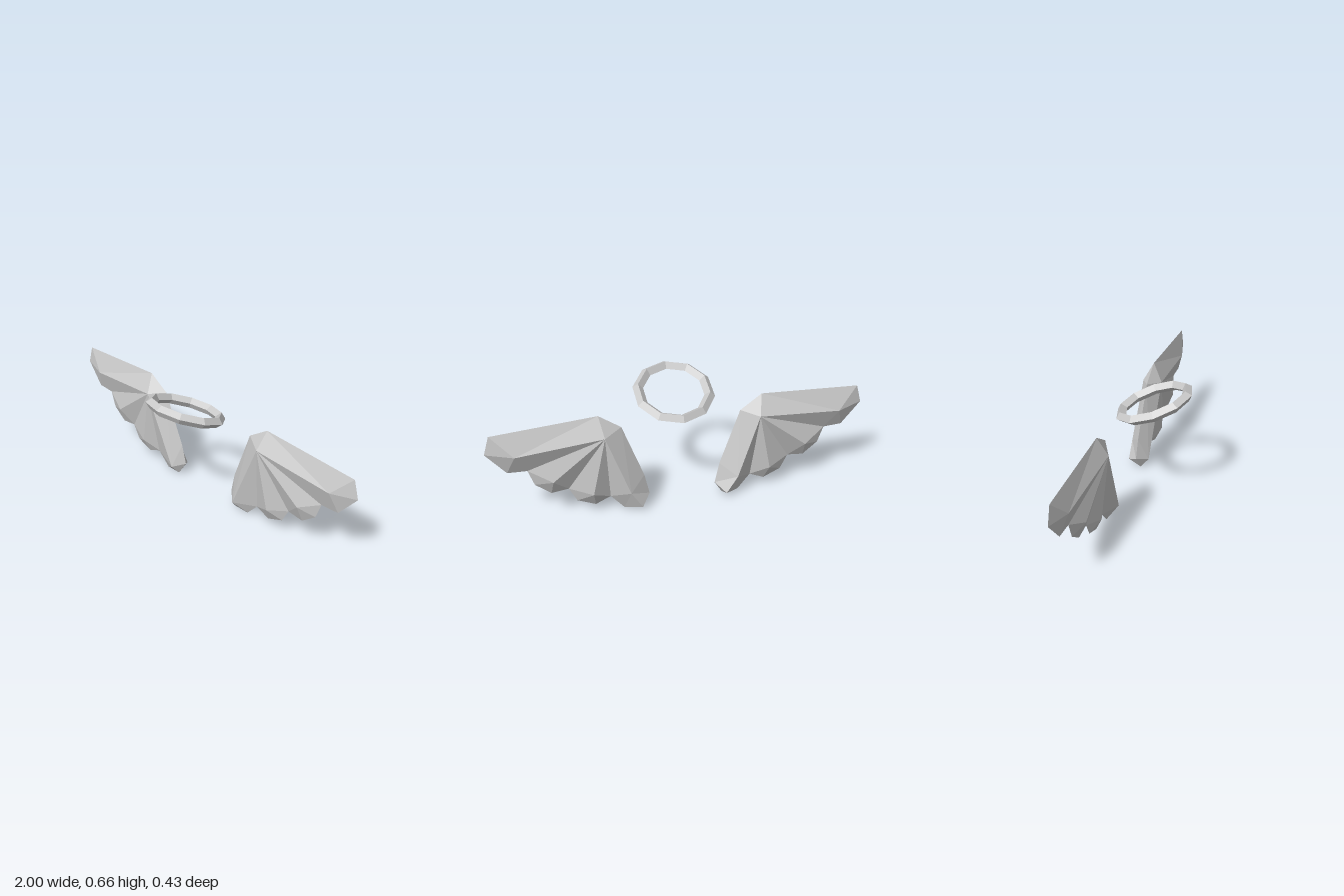
import * as THREE from 'three';

const material = new THREE.MeshStandardMaterial({ color: 0xcccccc, flatShading: true });

// Feather rims as [x, y, z], clockwise from the shoulder; each is a fan around a front and a back ridge point
const shoulder = [0.43, 0.57, -0.132];
const inner = [0.315, 0.49, -0.135];
const gaps = [[0.80, 0.31, -0.132], [0.60, 0.165, -0.133], [0.385, 0.08, -0.137]];
const feathers = [
  { rim: [shoulder, [0.97, 0.54, -0.135], [1, 0.44, -0.135], [0.90, 0.315, -0.132], gaps[0]],
    front: [0.86, 0.425, -0.098], back: [0.86, 0.425, -0.178] },
  { rim: [gaps[0], [0.77, 0.22, -0.132], [0.69, 0.155, -0.133], gaps[1]],
    front: [0.68, 0.25, -0.095], back: [0.68, 0.245, -0.176] },
  { rim: [gaps[1], [0.56, 0.085, -0.135], [0.465, 0.045, -0.138], gaps[2]],
    front: [0.48, 0.125, -0.10], back: [0.48, 0.135, -0.184] },
  { rim: [gaps[2], [0.315, 0, -0.143], [0.225, 0, -0.143], [0.18, 0.075, -0.155], [0.205, 0.19, -0.15], inner],
    front: [0.24, 0.05, -0.10], back: [0.29, 0.13, -0.216], backTip: [0.23, 0.035, -0.216] },
];
const hubFront = [0.41, 0.465, -0.08];
const hubBack = [0.41, 0.465, -0.188];

function createWing(side) {
  const positions = [];
  // Triangles around a centre point; facing is 1 for the front, -1 for the back
  const fan = (centre, points, facing) => {
    for (let i = 0; i < points.length - 1; i++) {
      const [a, b] = facing * side > 0 ? [points[i + 1], points[i]] : [points[i], points[i + 1]];
      for (const [x, y, z] of [centre, a, b]) positions.push(x * side, y, z);
    }
  };
  for (const { rim, front, back, backTip } of feathers) {
    const ends = [rim[0], rim[rim.length - 1]];
    // Front of the feather
    fan(hubFront, [ends[0], front, ends[1]], 1);
    fan(front, rim, 1);
    // Back of the feather, the innermost having a second raised point near its tip
    fan(hubBack, [ends[0], back, ends[1]], -1);
    if (backTip) {
      fan(back, [rim[0], rim[1], backTip, rim[3], rim[4], rim[5]], -1);
      fan(backTip, rim.slice(1, 4), -1);
    } else {
      fan(back, rim, -1);
    }
  }
  // Shoulder corner
  fan(hubFront, [inner, shoulder], 1);
  fan(hubBack, [inner, shoulder], -1);

  const geometry = new THREE.BufferGeometry();
  geometry.setAttribute('position', new THREE.Float32BufferAttribute(positions, 3));
  geometry.computeVertexNormals();
  const wing = new THREE.Mesh(geometry, material);
  wing.name = side > 0 ? 'leftWing' : 'rightWing';
  return wing;
}

// Ten-sided ring with a diamond section, tilted up at the front
function createHalo() {
  const geometry = new THREE.TorusGeometry(0.188, 0.028, 4, 10);
  geometry.rotateZ(Math.PI / 2);
  geometry.rotateX(Math.PI / 2);
  const halo = new THREE.Mesh(geometry, material);
  halo.name = 'halo';
  halo.rotation.x = -0.36;
  halo.position.set(0, 0.567, 0.016);
  return halo;
}

export function createModel() {
  const model = new THREE.Group();
  model.name = 'wingsAndHalo';
  model.add(createWing(1), createWing(-1), createHalo());
  return model;
}
